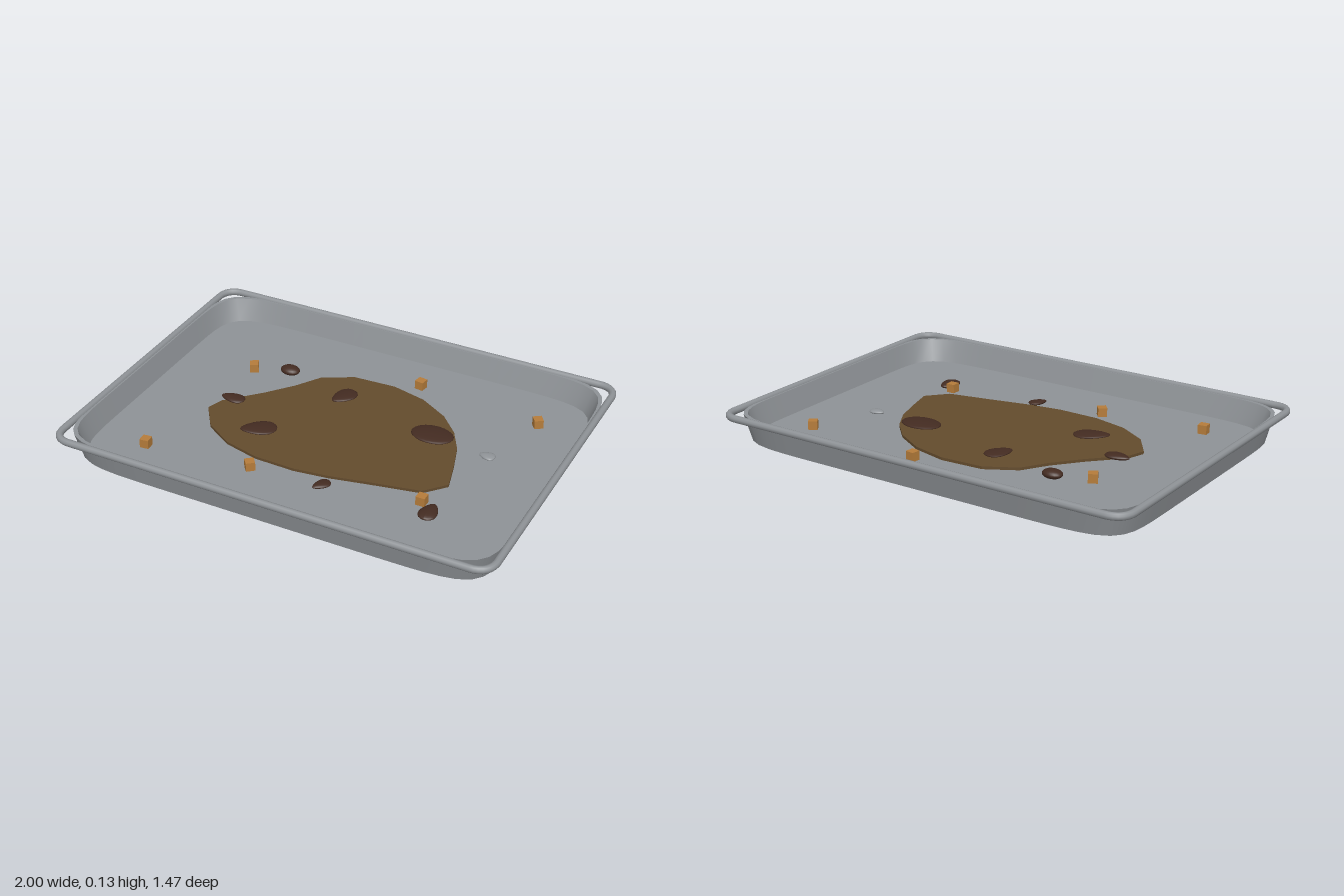
import * as THREE from 'three';
import { mergeGeometries } from 'three/addons/utils/BufferGeometryUtils.js';

const SEG = 128;
const FLOOR = 0.02;

// Ring of points on a squared-off oval
function ring(a, b, y) {
  const pts = [];
  for (let i = 0; i <= SEG; i++) {
    const t = (i / SEG) * Math.PI * 2, c = Math.cos(t), s = Math.sin(t);
    const r = Math.pow(Math.abs(c) ** 10 + Math.abs(s) ** 10, -0.1);
    pts.push(a * r * c, y, b * r * s);
  }
  return pts;
}

// Surface between two rings
function band(p, q) {
  const index = [], n = SEG + 1;
  for (let i = 0; i < SEG; i++) index.push(i, n + i, i + 1, i + 1, n + i, n + i + 1);
  const g = new THREE.BufferGeometry();
  g.setAttribute('position', new THREE.Float32BufferAttribute([...ring(...p), ...ring(...q)], 3));
  g.setIndex(index);
  g.computeVertexNormals();
  return g;
}

// Squashed sphere that narrows towards its local +x end
function lumpGeometry(rx, ry, rz, taper) {
  const g = new THREE.SphereGeometry(1, 20, 12);
  const p = g.attributes.position;
  for (let i = 0; i < p.count; i++) {
    const x = p.getX(i);
    p.setXYZ(i, x * rx, p.getY(i) * ry, p.getZ(i) * rz * (1 - taper * x));
  }
  g.computeVertexNormals();
  return g;
}

export function createModel() {
  const material = (name, color) => {
    const m = new THREE.MeshStandardMaterial({ color });
    m.name = name;
    return m;
  };
  const metal = material('greyMetal', 0x8e9296);
  const sauceBrown = material('sauceBrown', 0x634b2d);
  const darkBrown = material('darkBrown', 0x432b21);
  const crumbTan = material('crumbTan', 0xb57c3a);

  const model = new THREE.Group();
  model.name = 'bakingTray';
  const add = (name, geometry, mat) => {
    const mesh = new THREE.Mesh(geometry, mat);
    mesh.name = name;
    model.add(mesh);
    return mesh;
  };

  // Pan: underside, outer wall, lip, inner wall and floor
  const profile = [
    [0, 0, 0], [0.95, 0.688, 0], [0.976, 0.714, 0.12],
    [0.962, 0.7, 0.12], [0.932, 0.668, FLOOR], [0, 0, FLOOR],
  ];
  add('pan', mergeGeometries(profile.slice(1).map((q, i) => band(profile[i], q))), metal);

  // Rolled rim wire with tighter corners than the pan
  const X = 0.984, Z = 0.719, R = 0.07, Y = 0.117;
  const v = (x, z) => new THREE.Vector3(x, Y, z);
  const path = new THREE.CurvePath();
  const corners = [[1, 1], [-1, 1], [-1, -1], [1, -1]];
  corners.forEach(([sx, sz], i) => {
    const alongX = v(sx * (X - R), sz * Z), alongZ = v(sx * X, sz * (Z - R));
    const odd = i % 2 === 1;
    const start = odd ? alongX : alongZ, end = odd ? alongZ : alongX;
    const [nx, nz] = corners[(i + 1) % 4];
    const next = odd ? v(nx * X, nz * (Z - R)) : v(nx * (X - R), nz * Z);
    path.add(new THREE.QuadraticBezierCurve3(start, v(sx * (X - R * 0.1), sz * (Z - R * 0.1)), end));
    path.add(new THREE.LineCurve3(end, next));
  });
  add('rim', new THREE.TubeGeometry(path, 400, 0.016, 10, true), metal);

  // Spilled sauce, a thin irregular slab
  const outline = [
    [-0.6, 0.11], [-0.575, 0.035], [-0.44, -0.105], [-0.345, -0.22], [-0.275, -0.33],
    [-0.14, -0.405], [0.055, -0.415], [0.215, -0.375], [0.35, -0.295], [0.44, -0.2],
    [0.5, -0.095], [0.54, 0.03], [0.575, 0.16], [0.495, 0.25], [0.27, 0.295],
    [0.11, 0.33], [-0.045, 0.35], [-0.23, 0.345], [-0.39, 0.305], [-0.52, 0.225],
  ];
  const shape = new THREE.Shape(outline.map(([x, z]) => new THREE.Vector2(x, -z)));
  const sauce = new THREE.ExtrudeGeometry(shape, { depth: 0.012, bevelEnabled: false });
  add('sauce', sauce.rotateX(-Math.PI / 2), sauceBrown).position.y = FLOOR;

  // Burnt bits: x, z, height of centre, radii, taper, turn
  const bits = [
    [-0.425, -0.32, 0.037, 0.046, 0.02, 0.035, 0, 0],
    [-0.11, -0.24, 0.034, 0.065, 0.01, 0.044, 0.3, -2.0],
    [0.365, -0.14, 0.034, 0.096, 0.012, 0.067, 0, 0],
    [-0.54, -0.003, 0.034, 0.057, 0.012, 0.033, 0.35, Math.PI],
    [-0.32, 0.155, 0.034, 0.08, 0.01, 0.05, 0.3, Math.PI + 0.5],
    [0.107, 0.39, 0.027, 0.043, 0.01, 0.027, 0.4, -2.1],
    [0.58, 0.365, 0.031, 0.056, 0.014, 0.038, 0.3, Math.PI / 2],
  ];
  for (const [x, z, y, rx, ry, rz, taper, turn] of bits) {
    const bit = add('burntBit', lumpGeometry(rx, ry, rz, taper), darkBrown);
    bit.position.set(x, y, z);
    bit.rotation.y = turn;
  }

  // Small bead on the bare floor
  const bead = add('bead', lumpGeometry(0.036, 0.01, 0.026, 0.35), metal);
  bead.position.set(0.632, FLOOR + 0.006, -0.11);
  bead.rotation.y = Math.PI;

  // Cube crumbs: x, z, turn
  const crumbs = [
    [-0.583, -0.268, 0.5], [0.155, -0.478, -0.15], [0.735, -0.425, 0.6],
    [0.524, 0.312, 0], [-0.214, 0.417, 0.7], [-0.689, 0.472, 0.1],
  ];
  const cube = new THREE.BoxGeometry(0.04, 0.04, 0.04);
  for (const [x, z, turn] of crumbs) {
    const crumb = add('crumb', cube, crumbTan);
    crumb.position.set(x, FLOOR + 0.02, z);
    crumb.rotation.y = turn;
  }
  return model;
}
